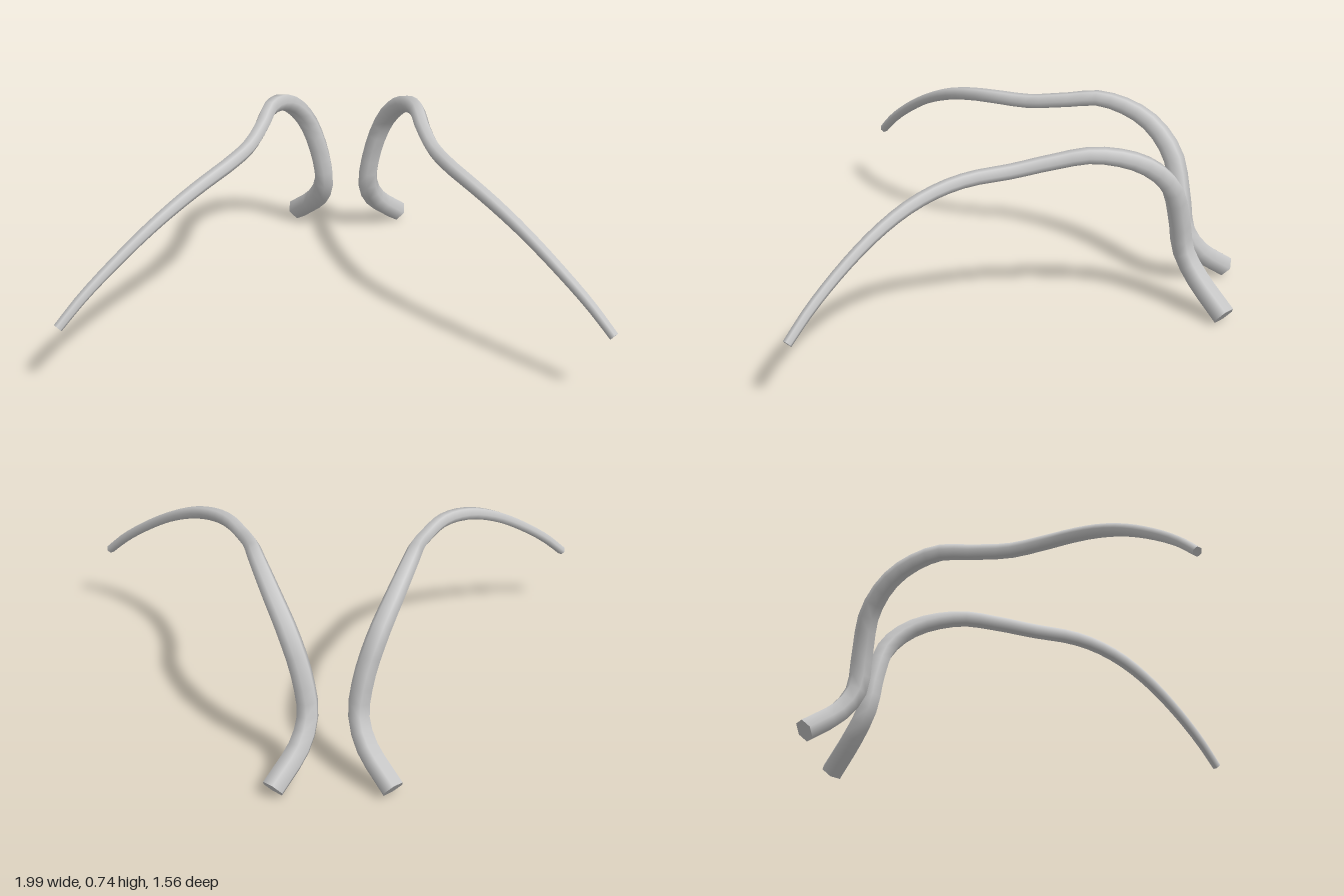
import * as THREE from 'three';

const SIDES = 6, STEPS = 40;

// Centreline of the left horn, base to tip: x, y, z, radius
const PATH = [
  [0.217, 0.039, -0.752, 0.046], [0.122, 0.152, -0.643, 0.045], [0.093, 0.25, -0.588, 0.043],
  [0.112, 0.4, -0.566, 0.042], [0.16, 0.55, -0.53, 0.041], [0.225, 0.665, -0.425, 0.037],
  [0.285, 0.72, -0.25, 0.032], [0.312, 0.7, -0.1, 0.03], [0.352, 0.674, 0.05, 0.029],
  [0.415, 0.664, 0.2, 0.028], [0.48, 0.647, 0.3, 0.027], [0.563, 0.612, 0.4, 0.026],
  [0.663, 0.553, 0.5, 0.024], [0.775, 0.469, 0.6, 0.022], [0.897, 0.362, 0.7, 0.02],
  [0.98, 0.272, 0.765, 0.018],
];

// Tapered six-sided tube with flat ends; side = 1 or -1 mirrors it across x
function hornGeometry(side) {
  const curve = new THREE.CatmullRomCurve3(PATH.map(p => new THREE.Vector3(p[0], p[1], p[2])));
  const frames = curve.computeFrenetFrames(STEPS, false);
  // Turn the section so one corner lies level at the base
  const level = new THREE.Vector3().crossVectors(frames.tangents[0], new THREE.Vector3(0, 1, 0));
  const turn = Math.atan2(level.dot(frames.binormals[0]), level.dot(frames.normals[0]));
  const pos = [], nor = [], idx = [];
  const put = (p, n) => {
    pos.push(p.x * side, p.y, p.z);
    nor.push(n.x * side, n.y, n.z);
  };
  const tri = (a, b, c) => (side > 0 ? idx.push(a, b, c) : idx.push(a, c, b));
  const rings = [];

  for (let i = 0; i <= STEPS; i++) {
    const t = curve.getUtoTmapping(i / STEPS);
    const centre = curve.getPoint(t);
    const f = t * (PATH.length - 1);
    const k = Math.min(Math.floor(f), PATH.length - 2);
    const r = THREE.MathUtils.lerp(PATH[k][3], PATH[k + 1][3], f - k);
    const ring = [];
    for (let j = 0; j < SIDES; j++) {
      const a = turn + (j / SIDES) * Math.PI * 2;
      const n = frames.normals[i].clone().multiplyScalar(Math.cos(a))
        .addScaledVector(frames.binormals[i], Math.sin(a));
      const p = centre.clone().addScaledVector(n, r);
      put(p, n);
      ring.push(p);
    }
    rings.push(ring);
  }
  for (let i = 0; i < STEPS; i++) {
    for (let j = 0; j < SIDES; j++) {
      const a = i * SIDES + j, b = i * SIDES + (j + 1) % SIDES;
      tri(a, b, b + SIDES);
      tri(a, b + SIDES, a + SIDES);
    }
  }
  // Flat end caps
  for (const [i, dir] of [[0, -1], [STEPS, 1]]) {
    const start = pos.length / 3;
    const n = frames.tangents[i].clone().multiplyScalar(dir);
    rings[i].forEach(p => put(p, n));
    for (let j = 1; j < SIDES - 1; j++) {
      if (dir > 0) tri(start, start + j, start + j + 1);
      else tri(start, start + j + 1, start + j);
    }
  }

  const g = new THREE.BufferGeometry();
  g.setAttribute('position', new THREE.Float32BufferAttribute(pos, 3));
  g.setAttribute('normal', new THREE.Float32BufferAttribute(nor, 3));
  g.setIndex(idx);
  return g;
}

export function createModel() {
  const group = new THREE.Group();
  group.name = 'hornPair';
  const grey = new THREE.MeshStandardMaterial({ color: 0xcccccc });
  grey.name = 'lightGrey';
  for (const [name, side] of [['leftHorn', 1], ['rightHorn', -1]]) {
    const horn = new THREE.Mesh(hornGeometry(side), grey);
    horn.name = name;
    group.add(horn);
  }
  return group;
}
